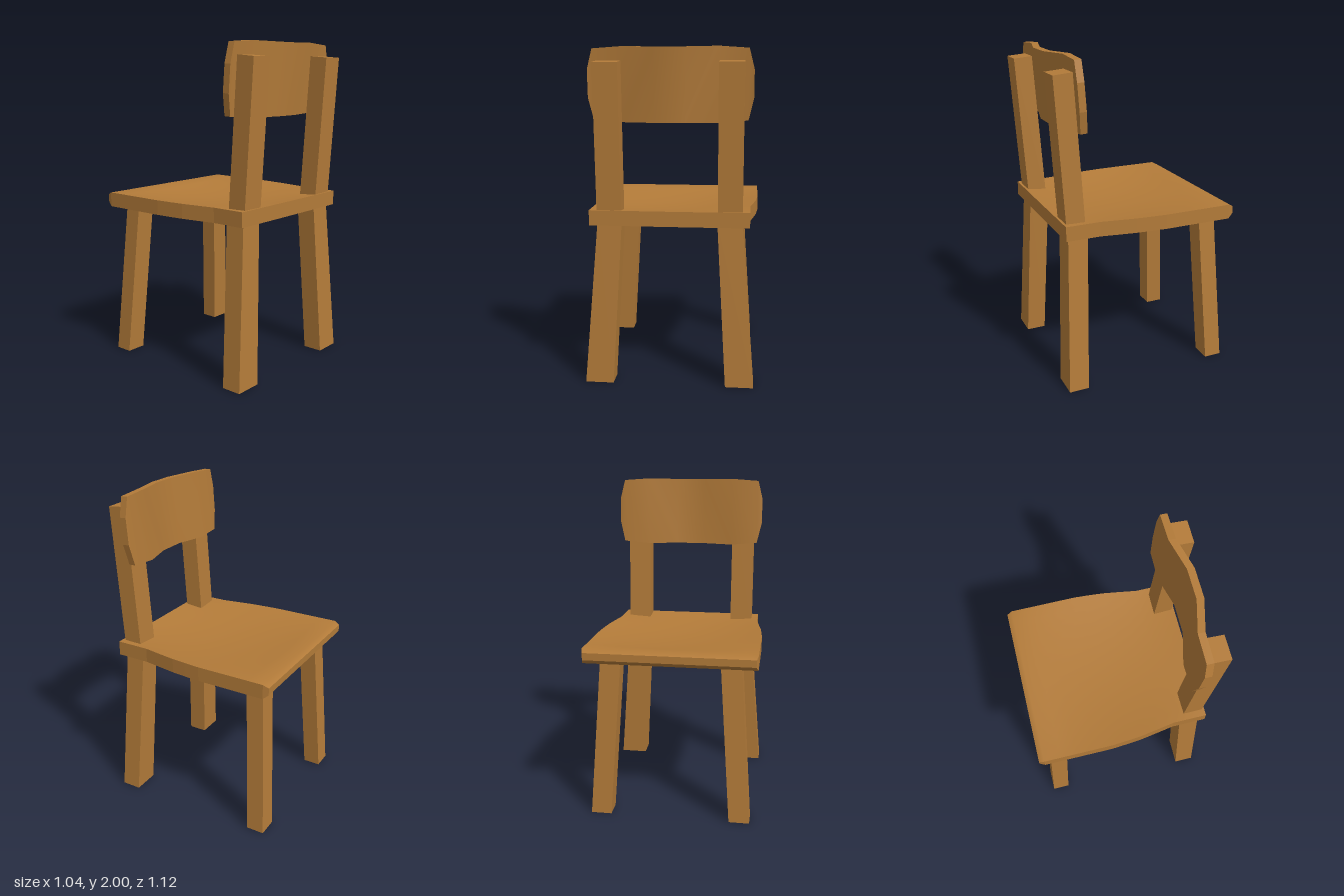
import * as THREE from 'three';

// Closed slab between two point grids: outer(i, j) and inner(i, j).
// The sheets are smooth, the rim is faceted.
function slab(nu, nv, outer, inner) {
  const pos = [], index = [];
  const push = (p) => pos.push(...p) / 3 - 1;
  const sheet = (f, flip) => {
    const base = pos.length / 3;
    for (let i = 0; i < nu; i++) for (let j = 0; j < nv; j++) push(f(i, j));
    for (let i = 0; i < nu - 1; i++) for (let j = 0; j < nv - 1; j++) {
      const a = base + i * nv + j, b = a + nv, c = b + 1, d = a + 1;
      if (flip) index.push(a, c, b, a, d, c);
      else index.push(a, b, c, a, c, d);
    }
  };
  sheet(outer, false);
  sheet(inner, true);
  const loop = [];
  for (let i = 0; i < nu - 1; i++) loop.push([i, 0]);
  for (let j = 0; j < nv - 1; j++) loop.push([nu - 1, j]);
  for (let i = nu - 1; i > 0; i--) loop.push([i, nv - 1]);
  for (let j = nv - 1; j > 0; j--) loop.push([0, j]);
  loop.forEach((p, k) => {
    const q = loop[(k + 1) % loop.length];
    const a = push(outer(...p)), b = push(inner(...p));
    const c = push(inner(...q)), d = push(outer(...q));
    index.push(a, b, c, a, c, d);
  });
  const geo = new THREE.BufferGeometry();
  geo.setAttribute('position', new THREE.Float32BufferAttribute(pos, 3));
  geo.setIndex(index);
  geo.computeVertexNormals();
  return geo;
}

// Square bar from a bottom rectangle to a top one; each is { x: [min, max], z: [min, max], y: [at min z, at max z] }
function bar(bottom, top, side) {
  const corner = (r) => (i, j) => [side * r.x[side > 0 ? j : 1 - j], r.y[i], r.z[i]];
  return slab(2, 2, corner(top), corner(bottom));
}

export function createModel() {
  const group = new THREE.Group();
  const wood = new THREE.MeshStandardMaterial({ color: 0xb37b39 });
  wood.name = 'wood';
  const add = (name, geo) => {
    const mesh = new THREE.Mesh(geo, wood);
    mesh.name = name;
    group.add(mesh);
  };

  // Dished seat: rows of [z, half width], thinner along the free edge
  const rows = [[-0.56, 0.51], [-0.527, 0.52], [-0.42, 0.52], [-0.32, 0.52], [-0.21, 0.52], [-0.1, 0.52],
    [0, 0.513], [0.09, 0.505], [0.2, 0.488], [0.31, 0.47], [0.42, 0.47], [0.52, 0.47]];
  const cols = 15;
  const seatPoint = (rim, nose) => (i, j) => {
    const [z, half] = rows[i];
    const u = (j / (cols - 1)) * 2 - 1;
    const sag = 0.045 * (1 - u * u) * Math.max(0, 1 - (z / 0.525) ** 2);
    return [u * half, i === 0 ? nose : rim - sag, z];
  };
  add('seat', slab(rows.length, cols, seatPoint(1.06, 1.042), seatPoint(0.97, 0.998)));

  // Wavy backrest: stations of [x, bottom y, top y, z offset]
  const half = [[0.09, 1.568, 1.995, 0.05], [0.28, 1.568, 2, 0], [0.45, 1.582, 1.988, 0], [0.48, 1.71, 1.87, 0.005]];
  const stations = [...half.map(([x, ...r]) => [-x, ...r]).reverse(), ...half];
  const backPoint = (depth) => (i, j) => {
    const [x, y0, y1, dz] = stations[i];
    const y = j ? y1 : y0;
    return [x, y + (depth ? -0.002 : 0), 0.373 + (y - 1.568) * 0.072 + dz + depth];
  };
  add('backrest', slab(stations.length, 2, backPoint(0.042), backPoint(0)));

  // Splayed legs and leaning posts, mirrored
  for (const side of [1, -1]) {
    const label = side > 0 ? 'left' : 'right';
    add(label + 'SlimLeg', bar(
      { x: [0.365, 0.49], z: [-0.535, -0.425], y: [0, 0] },
      { x: [0.298, 0.422], z: [-0.478, -0.37], y: [1, 1] }, side));
    add(label + 'WideLeg', bar(
      { x: [0.337, 0.506], z: [0.41, 0.533], y: [0, 0] },
      { x: [0.28, 0.424], z: [0.37, 0.492], y: [1, 1] }, side));
    add(label + 'BackPost', bar(
      { x: [0.283, 0.427], z: [0.383, 0.5], y: [1, 1] },
      { x: [0.283, 0.427], z: [0.445, 0.56], y: [1.918, 1.908] }, side));
  }
  return group;
}
